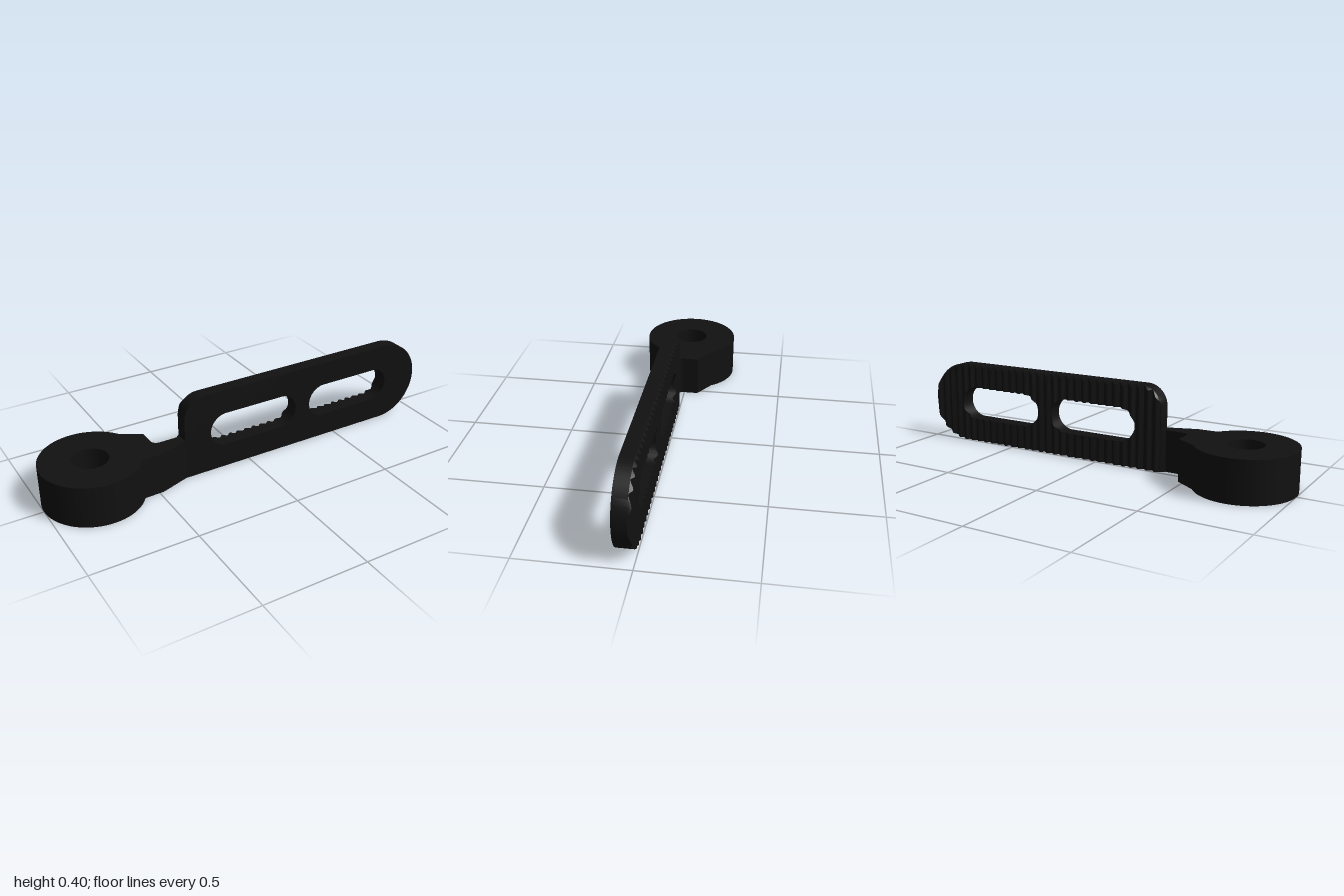
import * as THREE from 'three';
import { toCreasedNormals } from 'three/addons/utils/BufferGeometryUtils.js';

const MID = 0.2015, LEFT = -0.34, FRONT = 0.083, VALLEY = 0.018, PEAK = 0.003;
const TEETH = 31, PITCH = (1 - LEFT) / TEETH;
const SLOTS = [[-0.205, 0.265], [0.345, 0.815]], SLOT_R = 0.083;
const CORNER_R = 0.1;

// Height of a quarter circle at distance d from its outer end
const arc = (r, d) => (d >= r ? r : Math.sqrt(Math.max(0, r * r - (r - d) ** 2)));

// Plate outline, slot half height and toothed back at a given x
const endHalf = (x) => arc(MID, 1 - x);
const topAt = (x) => Math.min(MID + endHalf(x), 2 * MID - CORNER_R + arc(CORNER_R, x - LEFT));
const bottomAt = (x) => MID - endHalf(x);
function slotAt(x) {
  for (const [a, b] of SLOTS) if (x > a && x < b) return arc(SLOT_R, Math.min(x - a, b - x));
  return 0;
}
const backAt = (x) => PEAK + (VALLEY - PEAK) * (0.5 + 0.5 * Math.cos((2 * Math.PI * (x - LEFT)) / PITCH));

// Stations along the plate: tooth steps, plus finer steps at every round end
function stations() {
  const xs = [];
  for (let i = 0; i <= TEETH * 6; i++) xs.push(LEFT + (i * PITCH) / 6);
  const addArc = (end, r, dir) => {
    for (let i = 0; i <= 14; i++) xs.push(end + dir * r * (1 - Math.cos((i / 14) * Math.PI / 2)));
  };
  addArc(1, MID, -1);
  addArc(LEFT, CORNER_R, 1);
  for (const [a, b] of SLOTS) {
    addArc(a, SLOT_R, 1);
    addArc(b, SLOT_R, -1);
  }
  xs.sort((p, q) => p - q);
  return xs.filter((x, i) => i === 0 || x - xs[i - 1] > 1e-6);
}

// Cross-sections of the bands below and above the slots, as [y, z] loops
function lowerSection(x) {
  const y0 = bottomAt(x), y1 = MID - slotAt(x), z = backAt(x);
  return [[y0, FRONT], [y1, FRONT], [y1, z], [y0, z]];
}
function upperSection(x) {
  const y0 = MID + slotAt(x), y1 = topAt(x), z = backAt(x);
  const bevel = Math.max(y0, y1 - 0.8 * (VALLEY - z));
  return [[y0, FRONT], [y1, FRONT], [y1, VALLEY], [bevel, z], [y0, z]];
}

function plateGeometry() {
  const pos = [], xs = stations();
  const tri = (...pts) => pts.forEach((p) => pos.push(...p));
  for (const [section, innerEdge] of [[lowerSection, 1], [upperSection, 4]]) {
    const rings = xs.map((x) => section(x).map(([y, z]) => [x, y, z]));
    const n = rings[0].length;
    for (let s = 0; s < xs.length - 1; s++) {
      const a = rings[s], b = rings[s + 1];
      const solid = slotAt(xs[s]) === 0 && slotAt(xs[s + 1]) === 0;
      for (let i = 0; i < n; i++) {
        if (i === innerEdge && solid) continue;
        const j = (i + 1) % n;
        tri(a[i], b[i], b[j]);
        tri(a[i], b[j], a[j]);
      }
    }
    // Cap at the neck side
    for (let i = 1; i < n - 1; i++) tri(rings[0][0], rings[0][i], rings[0][i + 1]);
  }
  const g = new THREE.BufferGeometry();
  g.setAttribute('position', new THREE.Float32BufferAttribute(pos, 3));
  return toCreasedNormals(g, 0.4);
}

// Eyelet ring and tapered neck as one extruded plan (shape y is -z)
function eyeletGeometry() {
  const cx = -0.766, r = 0.234, t = Math.asin(0.133 / r);
  const s = new THREE.Shape();
  s.absarc(cx, 0, r, t, 2 * Math.PI - t, false);
  s.lineTo(-0.48, -0.13);
  s.lineTo(LEFT, -FRONT);
  s.lineTo(LEFT, -VALLEY);
  s.lineTo(-0.36, -0.033);
  s.lineTo(-0.445, -0.033);
  s.quadraticCurveTo(-0.475, -0.03, -0.475, 0);
  s.lineTo(-0.475, 0.07);
  s.closePath();
  const hole = new THREE.Path();
  hole.absarc(cx, 0, 0.083, 0, 2 * Math.PI, true);
  s.holes.push(hole);
  const g = new THREE.ExtrudeGeometry(s, { depth: 0.2, bevelEnabled: false, curveSegments: 48 });
  g.rotateX(-Math.PI / 2);
  return toCreasedNormals(g, 0.4);
}

export function createModel() {
  const group = new THREE.Group();
  group.name = 'slottedArm';
  const material = new THREE.MeshStandardMaterial({ color: 0x111111 });
  const add = (name, geometry) => {
    const mesh = new THREE.Mesh(geometry, material);
    mesh.name = name;
    group.add(mesh);
  };
  add('eyeletAndNeck', eyeletGeometry());
  add('toothedPlate', plateGeometry());
  return group;
}
